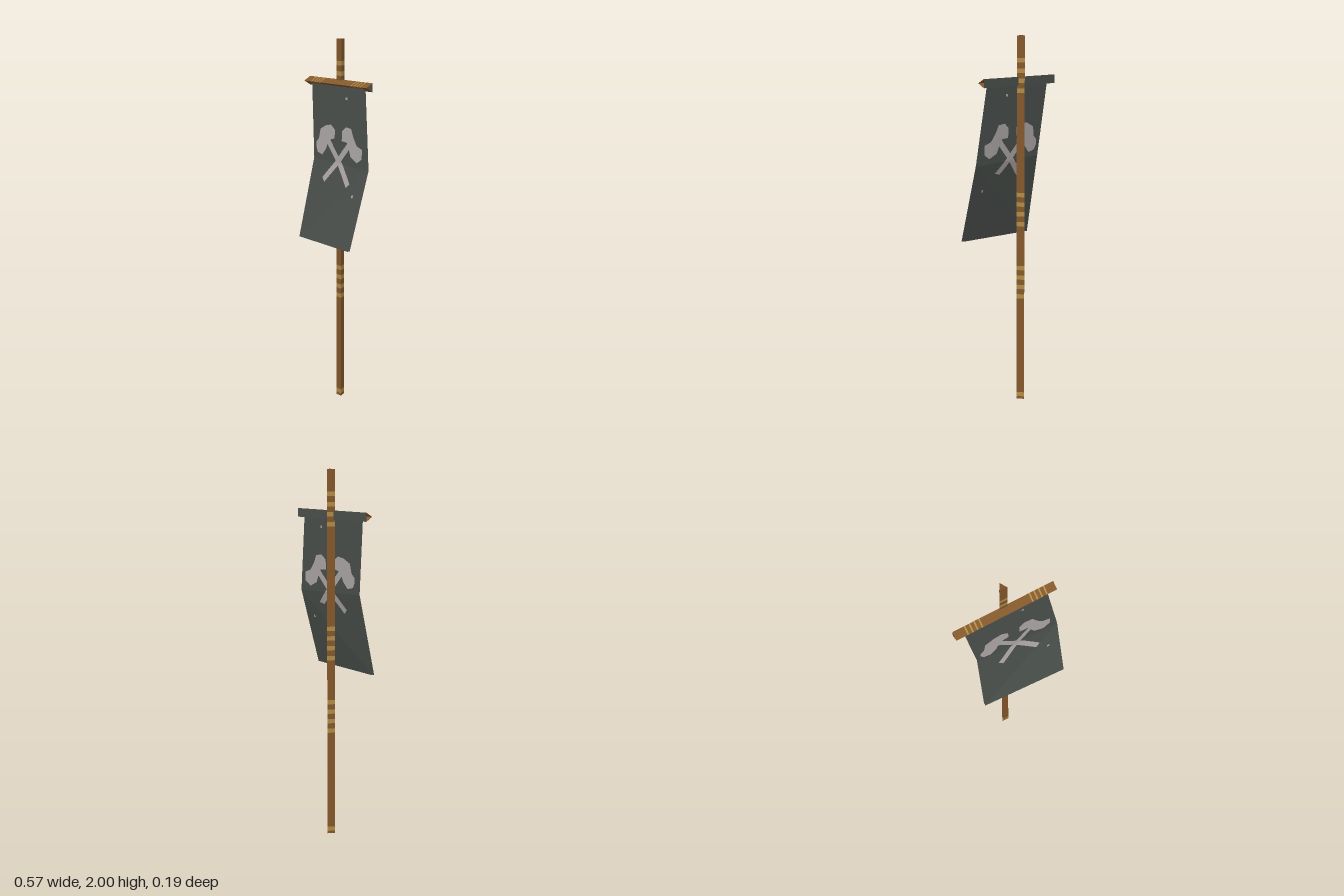
import * as THREE from 'three';

const mat = (name, color) => {
  const m = new THREE.MeshStandardMaterial({ color, side: THREE.DoubleSide });
  m.name = name;
  return m;
};

export function createModel() {
  const wood = mat('wood', 0x84582c);
  const gold = mat('gold binding', 0xb08c48);
  const cloth = mat('dark cloth', 0x4b514d);
  const pale = mat('pale emblem', 0xb0aaa9);

  const model = new THREE.Group();
  model.name = 'banner';
  const group = (name) => {
    const g = new THREE.Group();
    g.name = name;
    model.add(g);
    return g;
  };
  // faceted mesh
  const add = (parent, name, geo, material) => {
    const g = geo.index ? geo.toNonIndexed() : geo;
    g.computeVertexNormals();
    const m = new THREE.Mesh(g, material);
    m.name = name;
    parent.add(m);
    return m;
  };

  // Cuts a length into alternating plain and bound pieces
  const pieces = (from, to, centres, width) => {
    const out = [];
    let at = from;
    for (const c of centres) {
      out.push([at, c - width / 2, false], [c - width / 2, c + width / 2, true]);
      at = c + width / 2;
    }
    out.push([at, to, false]);
    return out;
  };

  // Three-sided pole, flat side to the front, open ends
  const pole = group('pole');
  const poleBands = [0.026, 0.587, 0.64, 0.693, 0.746, 0.99, 1.045, 1.098, 1.15, 1.71, 1.763, 1.815, 1.87];
  for (const [a, b, bound] of pieces(0, 2, poleBands, 0.024)) {
    const g = new THREE.CylinderGeometry(0.0248, 0.0248, b - a, 3, 1, true, Math.PI);
    g.translate(-0.01, (a + b) / 2, -0.0725);
    add(pole, bound ? 'poleBinding' : 'poleWood', g, bound ? gold : wood);
  }

  // Three-sided crossbar, edge to the front, with a cloth-covered back
  const bar = group('crossbar');
  const barSide = (a, b, start, length, segments) =>
    new THREE.CylinderGeometry(0.027, 0.027, b - a, segments, 1, true, start, length)
      .rotateZ(-Math.PI / 2).translate((a + b) / 2, 1.76, -0.054);
  const third = Math.PI * 2 / 3;
  const barBands = [-0.221, -0.195, -0.169, -0.143, 0.136, 0.162, 0.188, 0.215];
  for (const [a, b, bound] of pieces(-0.286, 0.27, barBands, 0.008)) {
    add(bar, bound ? 'barBinding' : 'barWood', barSide(a, b, -third, 2 * third, 2), bound ? gold : wood);
  }
  add(bar, 'barBack', barSide(-0.286, 0.27, third, third, 1), cloth);

  // Hanging cloth: left and right corners at the top, fold and hem
  const rows = [
    [[-0.237, 1.76, -0.046], [0.223, 1.76, -0.046]],
    [[-0.185, 1.345, -0.021], [0.285, 1.33, -0.021]],
    [[-0.203, 0.905, 0.07], [0.278, 0.912, 0.096]],
  ];
  const layerGap = 0.012;
  const sheet = (dz) => {
    const g = new THREE.PlaneGeometry(1, 1, 1, 2);
    rows.flat().forEach(([x, y, z], i) => g.attributes.position.setXYZ(i, x, y, z + dz));
    return g;
  };
  const banner = group('hangingCloth');
  add(banner, 'frontCloth', sheet(0), cloth);
  add(banner, 'backCloth', sheet(-layerGap), cloth);

  // Depth of the front cloth at a point
  const lerp = THREE.MathUtils.lerp;
  const clothZ = (x, y) => {
    const u = THREE.MathUtils.clamp((x + 0.19) / 0.475, 0, 1);
    const foldY = lerp(1.345, 1.33, u);
    if (y > foldY) return lerp(-0.021, -0.046, (y - foldY) / (1.76 - foldY));
    return lerp(-0.021, lerp(0.07, 0.096, u), (foldY - y) / (foldY - 0.908));
  };
  const drape = (geo, dz) => {
    const p = geo.attributes.position;
    for (let i = 0; i < p.count; i++) p.setZ(i, clothZ(p.getX(i), p.getY(i)) + dz);
    return geo;
  };

  // Crossed tools on both faces of the cloth
  const heads = {
    leftHead: [[-0.167, 1.41], [-0.167, 1.435], [-0.145, 1.455], [-0.135, 1.508], [-0.087, 1.532], [-0.04, 1.54],
      [-0.003, 1.515], [-0.003, 1.47], [-0.04, 1.46], [-0.062, 1.44], [-0.075, 1.405], [-0.108, 1.37], [-0.15, 1.38]],
    rightHead: [[0.061, 1.515], [0.092, 1.54], [0.138, 1.535], [0.162, 1.49], [0.193, 1.45], [0.24, 1.435],
      [0.24, 1.385], [0.2, 1.36], [0.145, 1.385], [0.125, 1.43], [0.108, 1.458], [0.061, 1.462]],
  };
  const handles = {
    leftHandle: [[-0.062, 1.455], [0.157, 1.235]],
    rightHandle: [[0.135, 1.455], [-0.065, 1.24]],
  };
  const emblem = group('emblem');
  for (const [side, dz] of [['front', 0.003], ['back', -layerGap - 0.003]]) {
    for (const [name, pts] of Object.entries(heads)) {
      const shape = new THREE.Shape(pts.map(([x, y]) => new THREE.Vector2(x, y)));
      add(emblem, `${side} ${name}`, drape(new THREE.ShapeGeometry(shape), dz), pale);
    }
    for (const [name, [a, b]] of Object.entries(handles)) {
      const dx = b[0] - a[0], dy = b[1] - a[1];
      const g = new THREE.PlaneGeometry(Math.hypot(dx, dy), 0.034, 24, 2);
      g.rotateZ(Math.atan2(dy, dx)).translate((a[0] + b[0]) / 2, (a[1] + b[1]) / 2, 0);
      add(emblem, `${side} ${name}`, drape(g, dz), pale);
    }
    // small worn specks
    for (const [x, y] of [[0.085, 1.69], [0.213, 1.187]]) {
      const g = new THREE.PlaneGeometry(0.014, 0.014).translate(x, y, 0);
      add(emblem, `${side} speck`, drape(g, dz), pale);
    }
  }
  return model;
}
